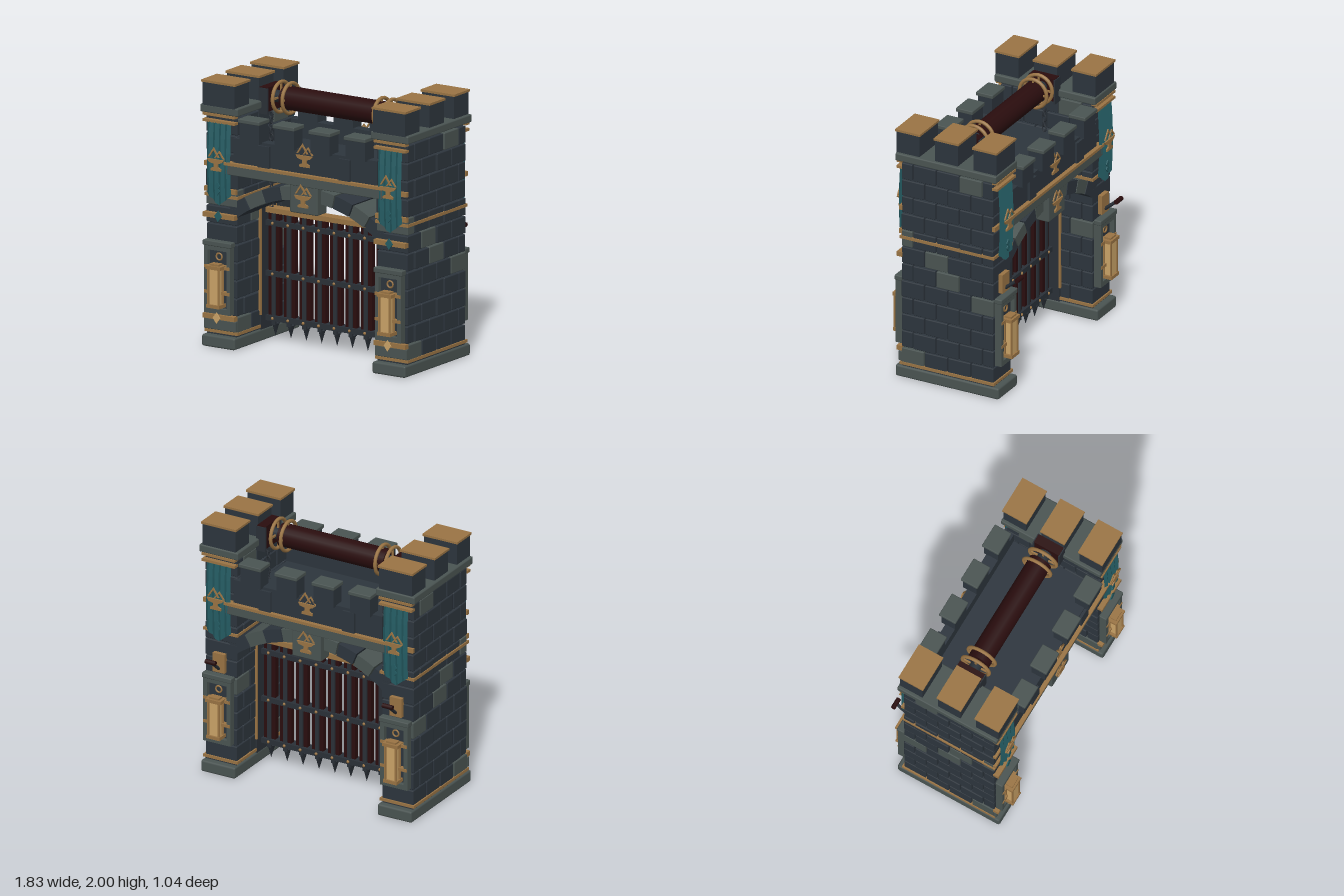
import * as THREE from 'three';
import { RoundedBoxGeometry } from 'three/addons/geometries/RoundedBoxGeometry.js';

const mat = (name, color, extra = {}) => {
  const m = new THREE.MeshStandardMaterial({ color, ...extra });
  m.name = name;
  return m;
};

export function createModel() {
  const dark = mat('darkStone', 0x2d353d), grey = mat('greyStone', 0x4a5452);
  const gold = mat('bronze', 0x9a7444), wood = mat('darkWood', 0x2a0d0e);
  const teal = mat('tealCloth', 0x245c63, { side: THREE.DoubleSide });
  const glow = mat('lanternGlass', 0xcba468), iron = mat('iron', 0x2a3037);
  const model = new THREE.Group();
  model.name = 'castleGate';
  const CZ = 0.025, FACE = 0.385; // tower centre in z, half depth

  const add = (parent, name, geo, m, x = 0, y = 0, z = 0) => {
    const mesh = new THREE.Mesh(geo, m);
    mesh.name = name;
    mesh.position.set(x, y, z);
    parent.add(mesh);
    return mesh;
  };
  // box given by its limits on each axis; r > 0 bevels the edges
  const box = (parent, name, m, x0, x1, y0, y1, z0, z1, r = 0) => {
    const s = [x1 - x0, y1 - y0, z1 - z0];
    const geo = r ? new RoundedBoxGeometry(...s, 1, r) : new THREE.BoxGeometry(...s);
    return add(parent, name, geo, m, (x0 + x1) / 2, (y0 + y1) / 2, (z0 + z1) / 2);
  };
  const shapeOf = pts => new THREE.Shape(pts.map(p => new THREE.Vector2(...p)));
  const extrude = (shape, depth) => new THREE.ExtrudeGeometry(shape, { depth, bevelEnabled: false });

  // anvil below two peaks
  const anvilGeo = extrude(shapeOf([[-0.045, -0.075], [0.045, -0.075], [0.045, -0.058], [0.018, -0.045],
    [0.018, -0.022], [0.05, -0.01], [0.075, 0.012], [-0.075, 0.012], [-0.06, -0.012], [-0.018, -0.022],
    [-0.018, -0.045], [-0.045, -0.058]]), 0.012);
  const peakGeo = extrude(shapeOf([[-0.05, 0], [0, 0.075], [0.05, 0], [0.036, 0], [0, 0.054], [-0.036, 0]]), 0.009);
  const emblem = (parent, x, y, z) => {
    const g = new THREE.Group();
    g.name = 'anvilOrnament';
    g.position.set(x, y, z);
    add(g, 'anvil', anvilGeo, gold);
    add(g, 'tallPeak', peakGeo, gold, -0.02, 0.025, 0);
    add(g, 'lowPeak', peakGeo, gold, 0.03, 0.02, 0.002).scale.set(0.9, 0.8, 1);
    parent.add(g);
  };

  // pleated banner with a pointed hem
  const bannerGeo = (() => {
    const g = new THREE.PlaneGeometry(0.205, 1, 8, 5), p = g.attributes.position;
    for (let i = 0; i < p.count; i++) {
      const x = p.getX(i), t = 0.5 - p.getY(i);
      const col = Math.round((x / 0.205 + 0.5) * 8);
      const hem = 1.07 + 0.08 * Math.abs(x) / 0.1025;
      p.setXYZ(i, x, 1.69 + (hem - 1.69) * t, (col % 2 ? 0.016 : 0) + 0.012 * Math.sin(t * 3));
    }
    const flat = g.toNonIndexed();
    flat.computeVertexNormals();
    return flat;
  })();

  // towers of bricks laid through the full width
  const greyBricks = ['0:0', '4:3', '5:2', '6:1', '7:0', '11:3'];
  for (const s of [-1, 1]) {
    const t = new THREE.Group();
    t.name = s > 0 ? 'leftTower' : 'rightTower';
    t.position.set(s * 0.748, 0, CZ);
    model.add(t);
    box(t, 'base', grey, -0.145, 0.145, 0, 0.09, -0.43, 0.43, 0.015);
    box(t, 'footing', dark, -0.13, 0.13, 0.085, 0.11, -0.38, 0.38);
    const h = 0.136, w = 0.1925;
    for (let r = 0; r < 12; r++) {
      const odd = r % 2;
      for (let i = 0; i < 4 + odd; i++) {
        const a = Math.max(0, (i - odd / 2) * w), b = Math.min(4 * w, (i + 1 - odd / 2) * w);
        const j = ((r * 7 + i * 5) % 4) * 0.002;
        box(t, 'brick', greyBricks.includes(`${r}:${i}`) ? grey : dark, -0.139 + j, 0.139 - j,
          0.109 + r * h, 0.101 + (r + 1) * h, FACE - b + 0.004, FACE - a - 0.004, 0.007);
      }
    }
    for (const y of [0.115, 1.135]) box(t, 'bronzeBand', gold, -0.145, 0.145, y - 0.011, y + 0.011, -0.392, 0.392);
    box(t, 'corbel', grey, -0.165, 0.165, 1.755, 1.815, -0.42, 0.42, 0.01);
    for (const z of [-0.315, 0.005, 0.325]) {
      box(t, 'towerMerlon', dark, -0.14, 0.14, 1.81, 1.985, z - 0.095, z + 0.095);
      box(t, 'merlonPlate', gold, -0.148, 0.148, 1.983, 2, z - 0.103, z + 0.103);
    }
  }

  // everything repeated on the front and back faces
  const frame = shapeOf([[-0.115, 0.26], [0.115, 0.26], [0.115, 0.8], [-0.115, 0.8]]);
  frame.holes.push(new THREE.Path([[-0.082, 0.3], [-0.082, 0.735], [0.082, 0.735], [0.082, 0.3]].map(p => new THREE.Vector2(...p))));
  const frameGeo = extrude(frame, 0.055);
  const diamondGeo = extrude(shapeOf([[0, -0.042], [0.032, 0], [0, 0.042], [-0.032, 0]]), 0.008);
  for (const back of [false, true]) {
    const f = new THREE.Group();
    f.name = back ? 'backFace' : 'frontFace';
    f.position.z = CZ;
    f.rotation.y = back ? Math.PI : 0;
    model.add(f);

    for (const s of [-1, 1]) {
      const g = new THREE.Group();
      g.name = 'towerFace';
      g.position.set(s * 0.75, 0, 0);
      f.add(g);
      // lantern niche
      add(g, 'nicheFrame', frameGeo, grey, 0, 0, FACE);
      box(g, 'nicheBack', dark, -0.09, 0.09, 0.29, 0.74, FACE - 0.005, FACE + 0.02);
      box(g, 'nicheCap', grey, -0.125, 0.125, 0.765, 0.805, FACE, FACE + 0.062, 0.008);
      add(g, 'nicheRing', new THREE.TorusGeometry(0.025, 0.007, 6, 12), gold, 0, 0.685, FACE + 0.025);
      // lantern
      const z0 = FACE + 0.04, z1 = FACE + 0.105;
      box(g, 'lanternGlass', glow, -0.038, 0.038, 0.335, 0.61, z0 + 0.008, z1 - 0.008);
      for (const [y, e] of [[0.325, 0.056], [0.615, 0.064]]) box(g, 'lanternCap', gold, -e, e, y - 0.013, y + 0.013, z0 - 0.02, z1 + 0.006);
      box(g, 'lanternFinial', gold, -0.04, 0.04, 0.626, 0.642, z0, z1 - 0.01);
      for (const x of [-0.045, 0.045]) for (const z of [z0, z1 - 0.008])
        box(g, 'lanternPost', gold, x - 0.007, x + 0.007, 0.33, 0.61, z, z + 0.009);
      for (const y of [0.42, 0.61]) box(g, 'lanternBracket', gold, -0.112, 0.112, y - 0.012, y + 0.012, FACE, FACE + 0.06);
      // banner on its rod
      add(g, 'banner', bannerGeo, teal, 0, 0, FACE + 0.022);
      for (const y of [1.697, 1.745]) box(g, 'bannerRod', gold, -0.14, 0.14, y - 0.01, y + 0.01, FACE - 0.01, FACE + 0.035);
      emblem(g, s * 0.005, 1.41, FACE + 0.055);
      for (const y of [1.22, 1.18]) add(g, 'bannerDiamond', diamondGeo, teal, 0, y, FACE + 0.044).scale.set(0.7, 0.7, 1);
      // straps with diamonds
      const straps = back ? [1.37] : [0.23, 0.99, 1.18, 1.37];
      for (const y of straps) box(g, 'bronzeStrap', gold, -0.138, 0.138, y - 0.018, y + 0.018, FACE - 0.01, y < 1.1 ? FACE + 0.035 : FACE + 0.015);
      if (!back) {
        add(g, 'bronzeDiamond', diamondGeo, glow, 0, 0.23, FACE + 0.056);
        add(g, 'tealDiamond', diamondGeo, teal, 0, 0.99, FACE + 0.036);
        box(g, 'greyStrap', grey, -0.14, 0.14, 0.13, 0.21, FACE - 0.01, FACE + 0.02, 0.006);
      } else {
        // winch lever
        box(g, 'leverPlate', gold, -0.05, 0.05, 0.82, 0.97, FACE - 0.005, FACE + 0.03);
        add(g, 'lever', new THREE.CylinderGeometry(0.013, 0.013, 0.15, 8), iron, 0, 0.9, FACE + 0.085).rotation.x = 0.87;
        add(g, 'leverGrip', new THREE.CylinderGeometry(0.018, 0.018, 0.085, 8), wood, 0, 0.945, FACE + 0.14).rotation.z = Math.PI / 2;
      }
    }

    // parapet wall, beam and keystone
    box(f, 'parapetWall', dark, -0.63, 0.63, 1.38, 1.59, 0.325, 0.405);
    box(f, 'beam', grey, -0.69, 0.69, 1.315, 1.39, 0.33, 0.43, 0.006);
    box(f, 'beamTrim', gold, -0.695, 0.695, 1.386, 1.408, 0.34, 0.438);
    for (const x of [-0.465, -0.16, 0.155, 0.465]) {
      box(f, 'parapetMerlon', dark, x - 0.085, x + 0.085, 1.58, 1.73, 0.325, 0.44);
      box(f, 'merlonCap', grey, x - 0.095, x + 0.095, 1.725, 1.755, 0.315, 0.455, 0.006);
    }
    for (const x of [-0.355, 0.355]) box(f, 'parapetPost', dark, x - 0.05, x + 0.05, 1.38, 1.57, 0.4, 0.425);
    box(f, 'keystone', grey, -0.122, 0.122, 1.11, 1.325, 0.3, 0.425, 0.01);
    emblem(f, 0, 1.235, 0.425);
    emblem(f, 0, 1.535, 0.405);
  }

  // walkway floor and arch stones spanning front to back
  box(model, 'walkway', dark, -0.61, 0.61, 1.36, 1.455, CZ - 0.33, CZ + 0.33);
  const arc = 0.07;
  const stone = new THREE.Shape();
  stone.absarc(0, 0, 1.1, Math.PI / 2 - arc, Math.PI / 2 + arc, false);
  stone.absarc(0, 0, 1.0, Math.PI / 2 + arc, Math.PI / 2 - arc, true);
  const stoneGeo = new THREE.ExtrudeGeometry(stone, { depth: 0.76, bevelEnabled: false, curveSegments: 2 });
  for (let k = -4; k <= 4; k++)
    add(model, 'archStone', stoneGeo, k % 2 ? grey : dark, 0, 0.2, CZ - 0.38).rotation.z = -k * 0.15;

  // portcullis
  const gate = new THREE.Group();
  gate.name = 'portcullis';
  gate.position.z = 0.01;
  model.add(gate);
  const studGeo = new THREE.SphereGeometry(0.012, 8, 6);
  const rails = [0.17, 0.505, 0.885];
  box(gate, 'topBar', gold, -0.6, 0.6, 0.962, 1.0, -0.045, 0.045);
  for (const y of rails) box(gate, 'rail', iron, -0.605, 0.605, y - 0.02, y + 0.02, -0.042, 0.042);
  for (let i = -4; i <= 4; i++) {
    const x = i * 0.135;
    box(gate, 'plank', wood, x - 0.048, x + 0.048, 0.18, 0.965, -0.02, 0.02);
    box(gate, 'ironBar', iron, x - 0.016, x + 0.016, 0.12, 0.96, -0.032, 0.032);
    add(gate, 'spike', new THREE.ConeGeometry(0.032, 0.1, 4), iron, x, 0.08, 0).rotation.x = Math.PI;
    add(gate, 'spikeCollar', new THREE.ConeGeometry(0.032, 0.03, 4), iron, x, 0.145, 0);
    for (const y of rails) for (const z of [-0.042, 0.042]) add(gate, 'stud', studGeo, gold, x, y, z);
  }
  for (const s of [-1, 1]) {
    box(gate, 'guide', iron, s * 0.608 - 0.008, s * 0.608 + 0.008, 0.09, 1.0, -0.1, 0.1);
    for (const z of [-0.1, 0.1]) box(gate, 'guideEdge', gold, s * 0.607 - 0.009, s * 0.607 + 0.009, 0.2, 1.0, z - 0.008, z + 0.008);
  }

  // lifting drum, rope wheels, bearings and chains
  const drum = new THREE.Group();
  drum.name = 'liftingDrum';
  drum.position.set(0, 1.838, 0.02);
  model.add(drum);
  const roller = (name, r, len, m) => { add(drum, name, new THREE.CylinderGeometry(r, r, len, 20), m).rotation.z = Math.PI / 2; };
  roller('drumBarrel', 0.088, 0.9, wood);
  roller('axle', 0.045, 1.1, iron);
  const ringGeo = new THREE.TorusGeometry(0.113, 0.014, 8, 24);
  const linkGeo = new THREE.TorusGeometry(0.016, 0.005, 6, 10);
  for (const s of [-1, 1]) {
    for (const x of [0.4, 0.485]) {
      add(drum, 'ropeWheel', ringGeo, gold, s * x).rotation.y = Math.PI / 2;
      for (const a of [0, Math.PI / 2]) add(drum, 'wheelSpoke', new THREE.BoxGeometry(0.012, 0.22, 0.014), gold, s * x).rotation.x = a;
    }
    box(drum, 'bearingBlock', wood, s * 0.568 - 0.036, s * 0.568 + 0.036, -0.1, 0.08, -0.105, 0.105);
    for (const z of [-0.107, 0.107]) box(drum, 'bearingPlate', iron, s * 0.568 - 0.04, s * 0.568 + 0.04, -0.12, 0.075, z - 0.006, z + 0.006);
    for (let i = 0; i < 17; i++) {
      const link = add(model, 'chainLink', linkGeo, iron, s * 0.57, 1.02 + i * 0.042, 0.02);
      link.scale.set(1, 1.5, 1);
      link.rotation.y = i % 2 ? Math.PI / 2 : 0;
    }
  }
  return model;
}
